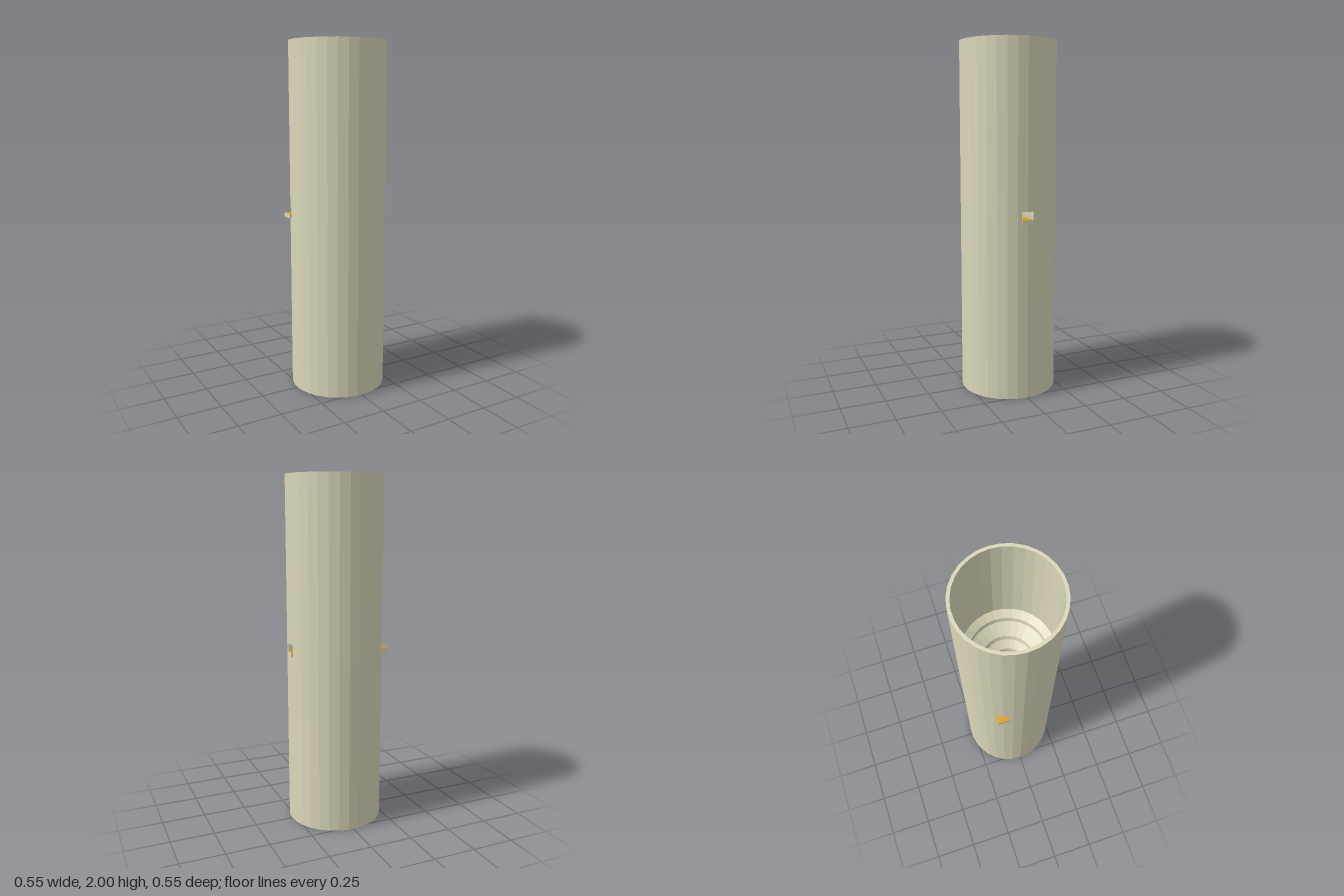
import * as THREE from 'three';

const OUTER = 0.275, INNER = 0.258, SIDES = 30;
const STEP = 360 / SIDES;
const rad = THREE.MathUtils.degToRad;

const ivory = new THREE.MeshStandardMaterial({ color: 0xdad7b9, flatShading: true });
ivory.name = 'ivory';
const ivoryFunnel = ivory;
ivoryFunnel.side = THREE.DoubleSide;
const amber = new THREE.MeshStandardMaterial({ color: 0xd99d10 });
amber.name = 'amber';
const crimson = new THREE.MeshStandardMaterial({ color: 0xdc143c, side: THREE.DoubleSide });
crimson.name = 'crimson';

// Point on the 30-sided outline at an angle in degrees
function onOutline(radius, deg) {
  const offset = deg - (Math.floor(deg / STEP) + 0.5) * STEP;
  const r = radius * Math.cos(rad(STEP / 2)) / Math.cos(rad(offset));
  return new THREE.Vector2(r * Math.cos(rad(deg)), r * Math.sin(rad(deg)));
}

// Wall sector between two angles and two heights
function wall(name, from, to, y0, y1) {
  const angles = [from];
  for (let a = (Math.floor(from / STEP) + 1) * STEP; a < to - 0.01; a += STEP) angles.push(a);
  const full = to - from >= 360;
  if (!full) angles.push(to);
  const outer = angles.map(a => onOutline(OUTER, a));
  const inner = angles.map(a => onOutline(INNER, a)).reverse();
  const shape = new THREE.Shape(full ? outer : [...outer, ...inner]);
  if (full) shape.holes.push(new THREE.Path(inner));
  const geometry = new THREE.ExtrudeGeometry(shape, { depth: y1 - y0, bevelEnabled: false });
  geometry.rotateX(-Math.PI / 2).translate(0, y0, 0);
  const mesh = new THREE.Mesh(geometry, ivory);
  mesh.name = name;
  return mesh;
}

// Small outlet shelf with an amber upper face
function shelf(name, x0, x1, z, top) {
  const geometry = new THREE.BoxGeometry(x1 - x0, 0.025, 0.07);
  const mesh = new THREE.Mesh(geometry, [ivory, ivory, amber, ivory, ivory, ivory]);
  mesh.position.set((x0 + x1) / 2, top - 0.0125, z);
  mesh.name = name;
  return mesh;
}

export function createModel() {
  const model = new THREE.Group();
  model.name = 'tower';

  // Tube with two small windows in its middle band
  const low = 0.995, high = 1.065;
  model.add(
    wall('lowerTube', 0, 360, 0, low),
    wall('upperTube', 0, 360, high, 2),
    wall('backWindowBand', 7.3, 147, low, high),
    wall('frontWindowBand', 163, 352.7, low, high)
  );

  // Outlet shelves in the windows
  model.add(
    shelf('leftShelf', 0.18, 0.278, 0, 1.02),
    shelf('rightShelf', -0.27, -0.16, -0.115, 1.03)
  );

  // Stepped funnel inside the tube
  const profile = [
    [0.1, 1.1], [0.103, 1.16], [0.143, 1.2], [0.151, 1.23],
    [0.215, 1.29], [0.219, 1.32], [0.262, 1.36]
  ].map(([r, y]) => new THREE.Vector2(r, y));
  const funnel = new THREE.Mesh(new THREE.LatheGeometry(profile, SIDES), ivoryFunnel);
  funnel.rotation.y = Math.PI / 2;
  funnel.name = 'funnel';
  model.add(funnel);

  // Red disc at the bottom of the funnel
  const disc = new THREE.Mesh(new THREE.CylinderGeometry(0.1, 0.1, 0.02, 48), crimson);
  disc.position.y = 1.11;
  disc.name = 'funnelFloor';
  model.add(disc);

  return model;
}
